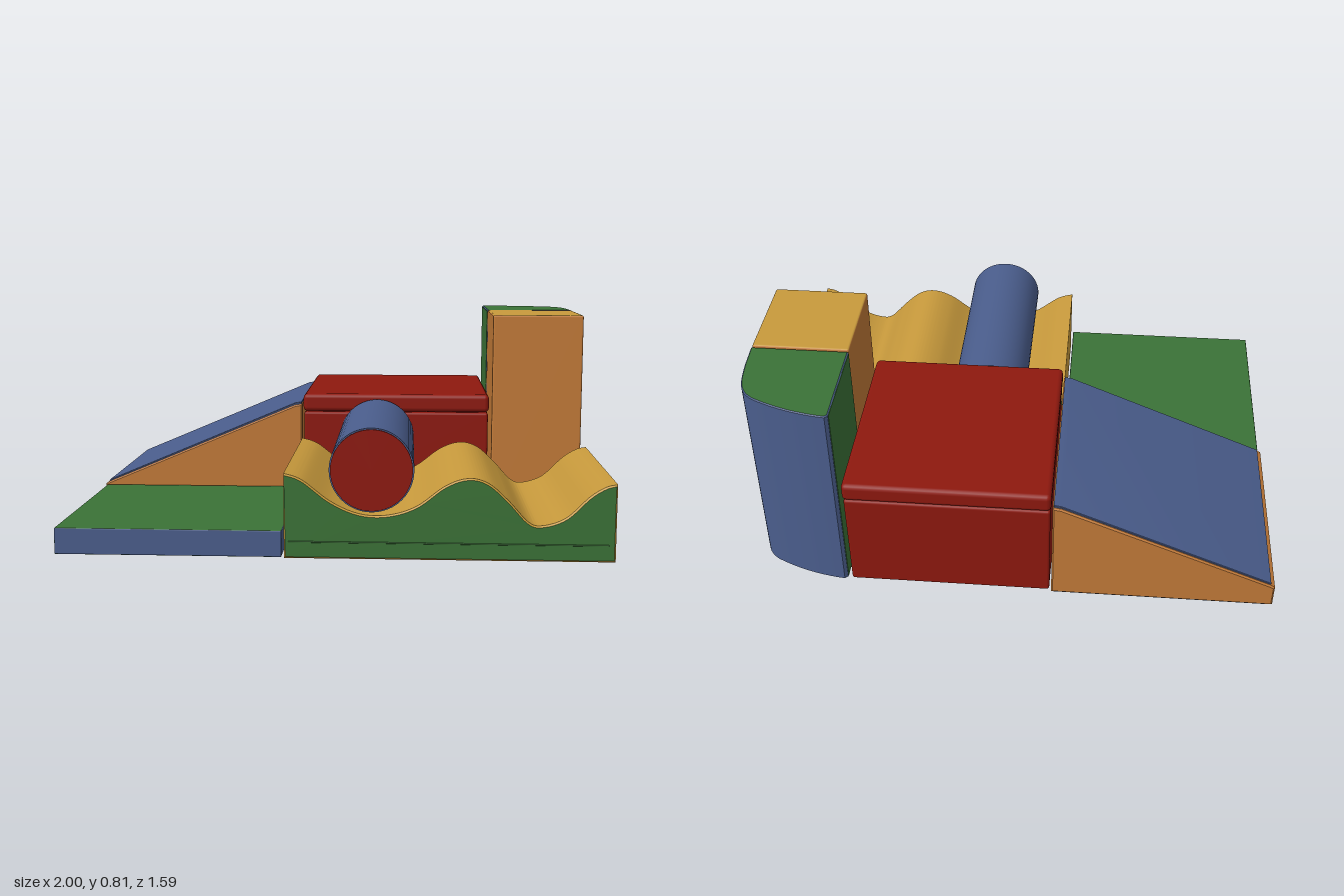
import * as THREE from 'three';
import { RoundedBoxGeometry } from 'three/addons/geometries/RoundedBoxGeometry.js';
import { toCreasedNormals } from 'three/addons/utils/BufferGeometryUtils.js';

export function createModel() {
  const model = new THREE.Group();
  const mat = (color) => new THREE.MeshStandardMaterial({ color });
  const blue = mat(0x4a5d8c), green = mat(0x3b7237), red = mat(0x8e180e);
  const yellow = mat(0xc89a3c), orange = mat(0xc27a38);

  const add = (name, geometry, material) => {
    const mesh = new THREE.Mesh(geometry, material);
    mesh.name = name;
    model.add(mesh);
    return mesh;
  };

  // Soft-edged block given by its limits; faces ordered +x -x +y -y +z -z
  const block = (name, [x0, x1], [y0, y1], [z0, z1], material, radius = 0.008) => {
    const g = new RoundedBoxGeometry(x1 - x0, y1 - y0, z1 - z0, 2, radius);
    g.translate((x0 + x1) / 2, (y0 + y1) / 2, (z0 + z1) / 2);
    return add(name, g, material);
  };

  // Outline extruded from z0 to z1, with a slim bevel kept inside the limits
  const extrude = (shape, z0, z1, bevel = 0.006) => {
    const g = new THREE.ExtrudeGeometry(shape, {
      depth: z1 - z0 - 2 * bevel, bevelEnabled: true, bevelSegments: 1, curveSegments: 12,
      bevelSize: bevel, bevelThickness: bevel, bevelOffset: -bevel,
    });
    g.translate(0, 0, z0 + bevel);
    return toCreasedNormals(g, 0.6);
  };
  const polygon = (points) => new THREE.Shape(points.map(([x, y]) => new THREE.Vector2(x, y)));

  // Flat mat
  block('floorMat', [-0.99, -0.175], [0.004, 0.1], [-0.015, 0.775],
    [blue, green, green, green, blue, blue], 0.004);

  // Ramp wedge with blue slope and base covers
  add('rampBody', extrude(polygon([
    [-1, 0.008], [-0.168, 0.008], [-0.168, 0.445], [-0.2, 0.44], [-0.985, 0.11], [-1, 0.1],
  ]), -0.795, -0.025), orange);
  add('rampSlope', extrude(polygon([
    [-0.985, 0.1], [-0.172, 0.435], [-0.172, 0.453], [-0.2, 0.448], [-0.985, 0.116],
  ]), -0.787, -0.033, 0.002), blue);
  block('rampBase', [-0.99, -0.175], [0.003, 0.02], [-0.788, -0.032], blue, 0.003);

  // Square platform with a separate lid
  block('platformBody', [-0.16, 0.598], [0.004, 0.413], [-0.782, -0.022], red, 0.01);
  block('platformLid', [-0.163, 0.602], [0.415, 0.488], [-0.786, -0.018], red, 0.018);

  // Square tower
  block('squareTower', [0.614, 0.978], [0.006, 0.815], [-0.402, -0.022],
    [orange, orange, yellow, yellow, orange, orange]);

  // Quarter-round tower, outline drawn with shape y = -z
  const quarter = new THREE.Shape();
  quarter.moveTo(0.614, 0.412);
  quarter.lineTo(0.978, 0.412);
  quarter.lineTo(0.974, 0.51);
  quarter.bezierCurveTo(0.965, 0.63, 0.955, 0.675, 0.9, 0.71);
  quarter.bezierCurveTo(0.82, 0.75, 0.73, 0.78, 0.625, 0.79);
  quarter.lineTo(0.614, 0.78);
  const quarterGeo = extrude(quarter, 0.006, 0.815, 0.004);
  quarterGeo.rotateX(-Math.PI / 2);
  add('quarterTower', quarterGeo, [green, blue]);
  block('quarterTowerInnerSide', [0.612, 0.622], [0.01, 0.811], [-0.777, -0.414], green, 0.002);
  block('quarterTowerInnerFront', [0.617, 0.974], [0.01, 0.811], [-0.42, -0.41], green, 0.002);

  // Wavy block with green end faces
  const wave = new THREE.Shape();
  wave.moveTo(-0.165, 0.004);
  wave.lineTo(0.995, 0.004);
  wave.lineTo(0.995, 0.28);
  wave.splineThru([
    [0.955, 0.27], [0.9, 0.235], [0.82, 0.16], [0.74, 0.132], [0.69, 0.145], [0.62, 0.22],
    [0.55, 0.28], [0.48, 0.296], [0.4, 0.268], [0.3, 0.195], [0.2, 0.163], [0.1, 0.167],
    [0, 0.21], [-0.1, 0.285], [-0.165, 0.308],
  ].map(([x, y]) => new THREE.Vector2(x, y)));
  add('waveBlock', extrude(wave, -0.002, 0.788), [green, yellow]);

  // Sewn seams across the ends of the wavy block
  for (const z of [-0.002, 0.788])
    block('waveSeam', [-0.15, 0.97], [0.062, 0.067], [z - 0.004, z + 0.004], green, 0.002);

  // Roller lying in the first trough
  const roller = new THREE.CylinderGeometry(0.15, 0.15, 0.772, 48);
  roller.rotateX(Math.PI / 2).translate(0.143, 0.319, 0.384);
  add('roller', roller, blue);
  const ends = new THREE.CylinderGeometry(0.145, 0.145, 0.784, 48);
  ends.rotateX(Math.PI / 2).translate(0.143, 0.319, 0.384);
  add('rollerEnds', ends, red);

  return model;
}
